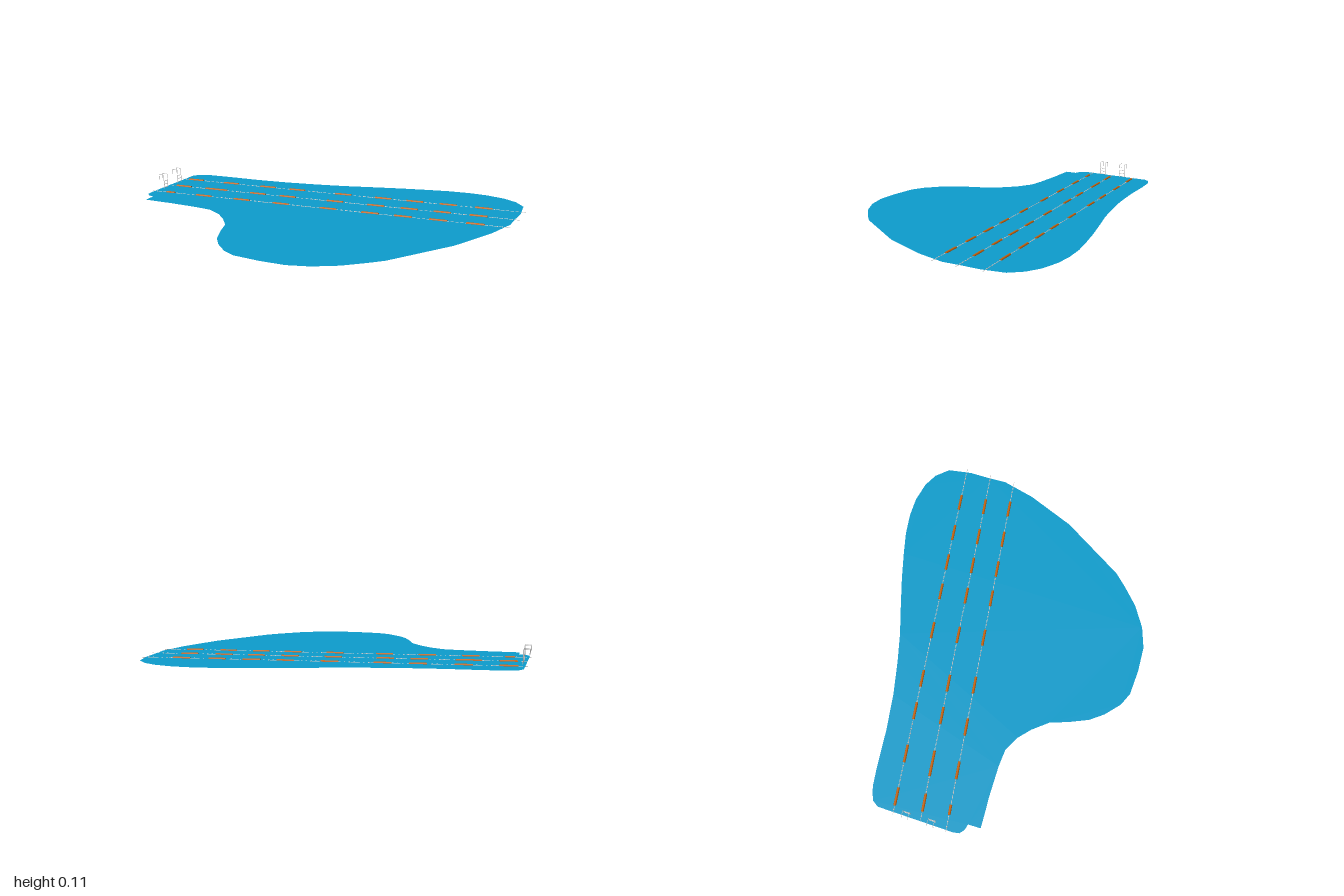
import * as THREE from 'three';

const WATER_Y = 0.025;

// Shore outline as x, z pairs
const SHORE = [
  -0.61, -0.95, -0.57, -0.955, -0.535, -0.94, -0.497, -0.917, -0.42, -0.85, -0.26, -0.70,
  -0.10, -0.565, 0.06, -0.447, 0.203, -0.35, 0.353, -0.26, 0.503, -0.168, 0.64, -0.077,
  0.75, 0, 0.845, 0.083, 0.92, 0.168, 0.978, 0.27, 1, 0.355, 0.99, 0.447, 0.904, 0.553,
  0.818, 0.628, 0.738, 0.703, 0.567, 0.79, 0.289, 0.885, -0.128, 0.95, -0.225, 0.944,
  -0.358, 0.928, -0.492, 0.885, -0.60, 0.82, -0.70, 0.714, -0.79, 0.596, -0.815, 0.516,
  -0.815, 0.404, -0.797, 0.313, -0.75, 0.21, -0.695, 0.11, -0.677, 0, -0.677, -0.088,
  -0.70, -0.184, -0.76, -0.265, -0.877, -0.398, -0.94, -0.463, -1, -0.527, -0.947, -0.575,
  -0.963, -0.607, -0.963, -0.64, -0.941, -0.667,
];

// Lane ropes: start, end, and the x centres of the long floats
const LANES = [
  { a: [-0.69, -0.90], b: [0.94, 0.55],
    floats: [-0.615, -0.433, -0.246, -0.10, 0.123, 0.31, 0.455, 0.604, 0.76] },
  { a: [-0.80, -0.79], b: [0.83, 0.655],
    floats: [-0.722, -0.556, -0.348, -0.203, 0.021, 0.209, 0.358, 0.503, 0.658] },
  { a: [-0.92, -0.70], b: [0.71, 0.75],
    floats: [-0.829, -0.663, -0.476, -0.289, -0.07, 0.118, 0.262, 0.412, 0.567] },
];

const grey = new THREE.MeshStandardMaterial({ color: 0xcccccc });
const orange = new THREE.MeshStandardMaterial({ color: 0xc8640f });
const blue = new THREE.MeshStandardMaterial({ color: 0x0d9ccc, side: THREE.DoubleSide });

function part(name, geometry, material, parent) {
  const mesh = new THREE.Mesh(geometry, material);
  mesh.name = name;
  parent.add(mesh);
  return mesh;
}

// Cylinder lying along x
function bar(length, radius, sides) {
  return new THREE.CylinderGeometry(radius, radius, length, sides).rotateZ(Math.PI / 2);
}

// Flat sheet of water
function water(parent) {
  const points = [];
  for (let i = 0; i < SHORE.length; i += 2) points.push(new THREE.Vector2(SHORE[i], -SHORE[i + 1]));
  const sheet = new THREE.ShapeGeometry(new THREE.Shape(points)).rotateX(-Math.PI / 2);
  part('waterSurface', sheet, blue, parent).position.y = WATER_Y;
}

// Rope with long floats and small beads, built along x and then turned
function laneRope({ a, b, floats }, index) {
  const rope = new THREE.Group();
  rope.name = `laneRope${index + 1}`;
  const dx = b[0] - a[0], dz = b[1] - a[1], length = Math.hypot(dx, dz);
  rope.position.set(a[0], WATER_Y, a[1]);
  rope.rotation.y = -Math.atan2(dz, dx);
  part('cable', bar(length, 0.0012, 6), grey, rope).position.x = length / 2;

  const spans = floats.map((x, i) => {
    let size = 0.1;
    if (index === 1 && i === 1) size = 0.145;
    if (index === 2 && i === 0) size = 0.055;
    return { at: (x - a[0]) * length / dx, size };
  });
  for (const { at, size } of spans) {
    part('longFloat', bar(size, 0.0075, 10), orange, rope).position.x = at;
  }
  const bead = bar(0.008, 0.0035, 8);
  for (let s = 0.03; s < length - 0.03; s += 0.027) {
    if (spans.some(({ at, size }) => Math.abs(at - s) < size / 2 + 0.006)) continue;
    part('bead', bead, grey, rope).position.x = s;
  }
  return rope;
}

// Ladder: +x runs along the shore, -z points away from the water
function ladder(x, z, index) {
  const group = new THREE.Group();
  group.name = `ladder${index + 1}`;
  const half = 0.018, top = 0.112, r = 0.0015;
  const path = new THREE.CurvePath();
  const v = (y, depth) => new THREE.Vector3(0, y, depth);
  const bend = 0.008;
  path.add(new THREE.LineCurve3(v(0, half), v(top - bend, half)));
  path.add(new THREE.QuadraticBezierCurve3(v(top - bend, half), v(top, half), v(top, half - bend)));
  path.add(new THREE.LineCurve3(v(top, half - bend), v(top, bend - half)));
  path.add(new THREE.QuadraticBezierCurve3(v(top, bend - half), v(top, -half), v(top - bend, -half)));
  path.add(new THREE.LineCurve3(v(top - bend, -half), v(0.08, -half)));
  const rail = new THREE.TubeGeometry(path, 40, r, 6);
  for (const side of [-1, 1]) part('handrail', rail, grey, group).position.x = side * half;
  for (const y of [0.012, 0.032, 0.052, 0.072]) {
    part('rung', bar(half * 2, r, 6), grey, group).position.set(0, y, half);
  }
  group.position.set(x, 0, z);
  group.rotation.y = 0.71;
  return group;
}

export function createModel() {
  const model = new THREE.Group();
  model.name = 'swimmingLake';
  water(model);
  LANES.forEach((lane, i) => model.add(laneRope(lane, i)));
  [[-0.845, -0.746], [-0.738, -0.842]].forEach(([x, z], i) => model.add(ladder(x, z, i)));
  return model;
}
